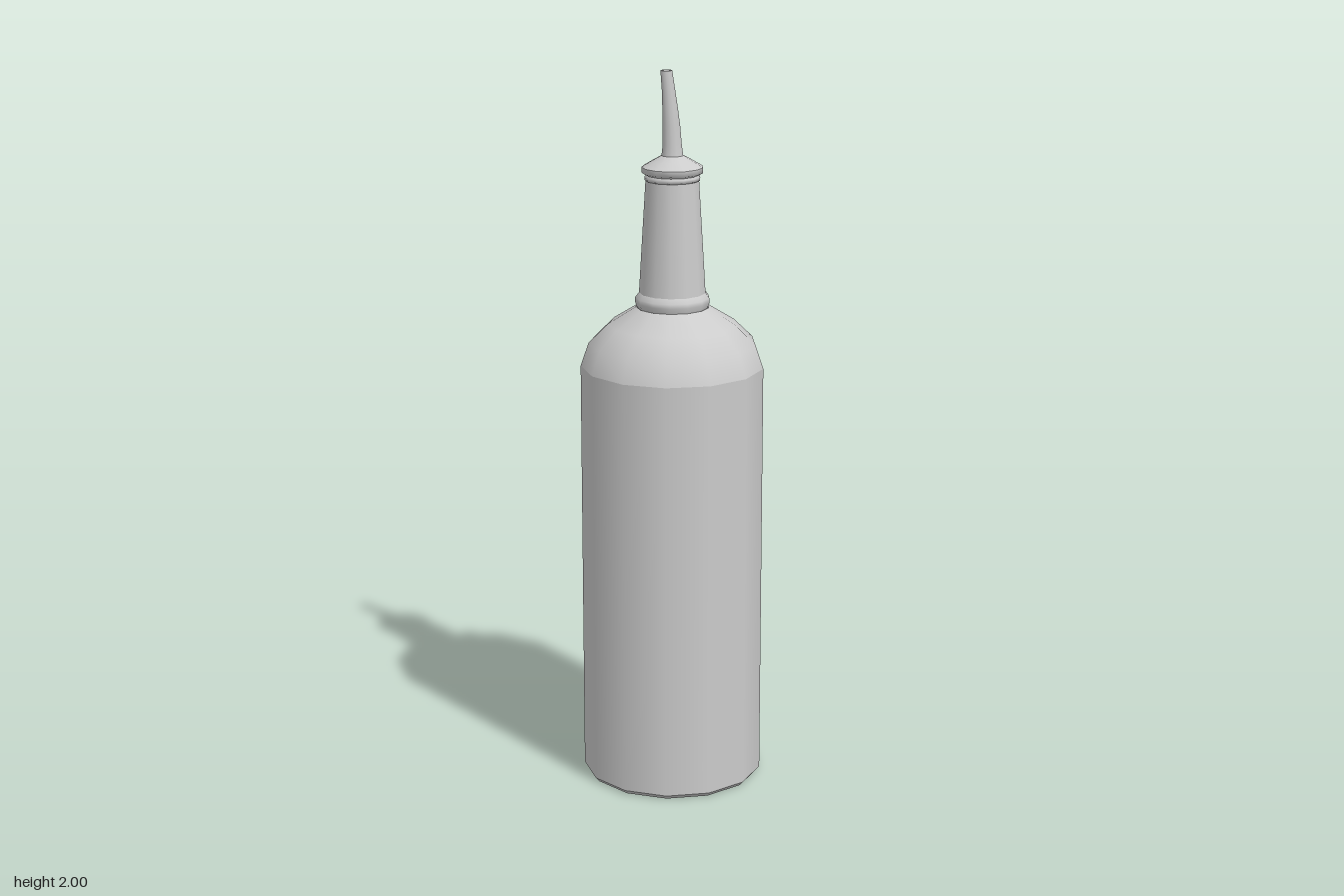
import * as THREE from 'three';

const SIDES = 13;
const material = new THREE.MeshStandardMaterial({ color: 0xcccccc, side: THREE.DoubleSide });

// Smooth turned surface from [radius, height] pairs, with one corner on +x
function turned(name, profile, sides = SIDES) {
  const points = profile.map(([r, y]) => new THREE.Vector2(r, y));
  const mesh = new THREE.Mesh(new THREE.LatheGeometry(points, sides, Math.PI / 2), material);
  mesh.name = name;
  return mesh;
}

export function createModel() {
  const model = new THREE.Group();
  model.name = 'pourerBottle';

  // Glass body: flat base, small bevel, straight wall, rounded shoulder
  const bottle = new THREE.Group();
  bottle.name = 'bottle';
  bottle.add(
    turned('base', [[0, 0], [0.243, 0]]),
    turned('baseBevel', [[0.243, 0], [0.253, 0.012]]),
    turned('bodyWall', [[0.253, 0.012], [0.253, 0.6], [0.253, 1.19]]),
    turned('shoulder', [[0.253, 1.19], [0.231, 1.254], [0.177, 1.307], [0.1, 1.355]]),
    // Neck with a bead at its foot
    turned('neckBead', [[0.096, 1.352], [0.103, 1.37], [0.102, 1.382], [0.092, 1.395]]),
    turned('neck', [[0.092, 1.39], [0.083, 1.54], [0.073, 1.705]]),
  );

  // Stopper: thin lip, wide rim and sloping cap
  const stopper = new THREE.Group();
  stopper.name = 'stopper';
  stopper.add(
    turned('stopperLip', [[0, 1.704], [0.075, 1.704], [0.076, 1.714], [0.07, 1.72]]),
    turned('stopperRim', [[0.07, 1.718], [0.084, 1.725], [0.084, 1.74]]),
    turned('stopperCap', [[0.084, 1.74], [0.055, 1.757], [0.028, 1.772]]),
  );

  // Spout: tapering hollow tube that leans toward -x as it rises
  const spout = new THREE.Group();
  spout.name = 'spout';
  spout.add(
    turned('spoutTube', [[0.03, 1.768], [0.026, 1.8], [0.024, 1.85], [0.021, 1.9], [0.018, 1.95], [0.016, 2]]),
    turned('spoutMouthEdge', [[0.016, 2], [0.012, 2]]),
    turned('spoutBore', [[0.012, 2], [0.012, 1.96]]),
    turned('spoutBoreFloor', [[0.012, 1.96], [0, 1.96]]),
  );
  spout.children.forEach(({ geometry }) => {
    const p = geometry.attributes.position;
    for (let i = 0; i < p.count; i++) {
      const t = Math.max(0, (p.getY(i) - 1.768) / 0.232);
      p.setX(i, p.getX(i) - 0.017 * t ** 1.7);
    }
  });

  model.add(bottle, stopper, spout);
  // Centre the odd-sided outline on x = 0
  model.children.forEach((part) => { part.position.x = -0.003; });
  return model;
}
